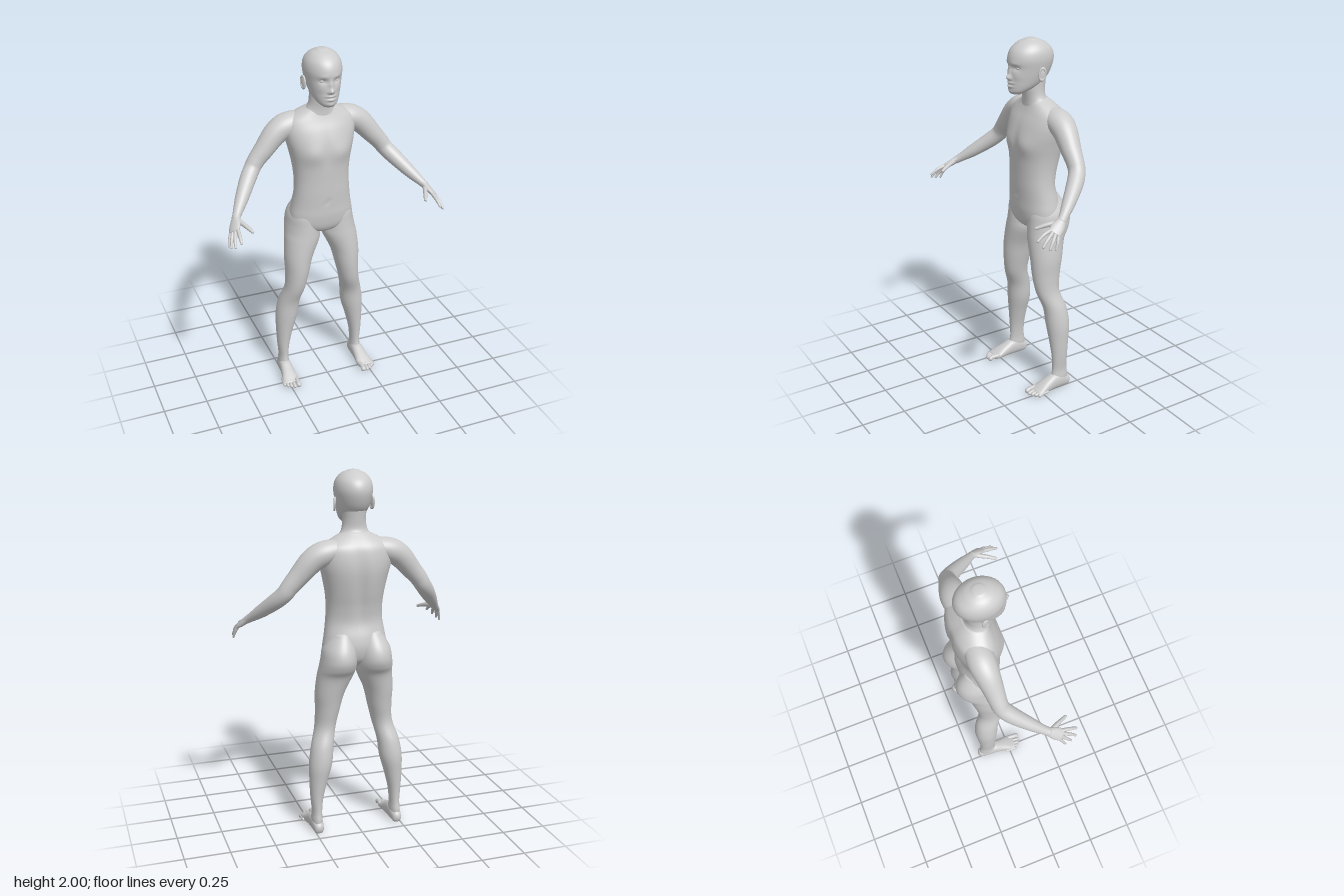
import * as THREE from 'three';

const X = new THREE.Vector3(1, 0, 0), Y = new THREE.Vector3(0, 1, 0), Z = new THREE.Vector3(0, 0, 1);
const DOWN = new THREE.Vector3(0, -1, 0);

// Catmull-Rom blend of whole rows of numbers
function blend(rows, s) {
  const n = rows.length - 1, i = Math.min(Math.floor(s), n - 1), t = s - i;
  const a = rows[Math.max(i - 1, 0)], b = rows[i], c = rows[i + 1], d = rows[Math.min(i + 2, n)];
  return b.map((_, k) => 0.5 * (2 * b[k] + (c[k] - a[k]) * t
    + (2 * a[k] - 5 * b[k] + 4 * c[k] - d[k]) * t * t
    + (3 * b[k] - a[k] - 3 * c[k] + d[k]) * t * t * t));
}

// Smooth skin through rows of [x, y, z, radiusU, radiusV], with rounded ends.
// axis fixes the direction of the sections; without it they follow the path.
function loft(rows, { axis, ref = X, seg = 32, sub = 5, power = 2, cap = 0.6, rule } = {}) {
  const rings = [], steps = (rows.length - 1) * sub;
  for (let k = 0; k <= steps; k++) {
    const [x, y, z, ru, rv] = blend(rows, k / sub);
    rings.push({ c: new THREE.Vector3(x, y, z), ru, rv });
  }
  rings.forEach((r, k) => {
    const a = rings[Math.max(k - 1, 0)], b = rings[Math.min(k + 1, steps)];
    r.t = axis ? axis.clone() : b.c.clone().sub(a.c).normalize();
    r.u = ref.clone().addScaledVector(r.t, -ref.dot(r.t)).normalize();
    r.v = r.t.clone().cross(r.u);
  });
  const capRing = (r, dir, a) => ({
    ...r, c: r.c.clone().addScaledVector(r.t, dir * cap * Math.min(r.ru, r.rv) * Math.sin(a)),
    ru: r.ru * Math.cos(a) + 1e-4, rv: r.rv * Math.cos(a) + 1e-4,
  });
  const angles = [0.35, 0.7, 1.05, 1.35, Math.PI / 2];
  const all = [...angles.map(a => capRing(rings[0], -1, a)).reverse(), ...rings,
    ...angles.map(a => capRing(rings[steps], 1, a))];
  const pos = [], idx = [], p = new THREE.Vector3();
  const round = v => Math.sign(v) * Math.abs(v) ** (2 / power);
  all.forEach((r, i) => {
    for (let j = 0; j < seg; j++) {
      const a = j / seg * Math.PI * 2;
      p.copy(r.c).addScaledVector(r.u, r.ru * round(Math.cos(a))).addScaledVector(r.v, r.rv * round(Math.sin(a)));
      if (rule) rule(p);
      pos.push(p.x, p.y, p.z);
      if (i === all.length - 1) continue;
      const A = i * seg + j, B = i * seg + (j + 1) % seg;
      idx.push(A, B, B + seg, A, B + seg, A + seg);
    }
  });
  const g = new THREE.BufferGeometry();
  g.setAttribute('position', new THREE.Float32BufferAttribute(pos, 3));
  g.setIndex(idx);
  g.computeVertexNormals();
  return g;
}

// Rows for upright parts: [y, centre x, half width, back z, front z]
const upright = rows => rows.map(([y, x, w, b, f]) => [x, y, (b + f) / 2, w, (f - b) / 2]);
const bell = (d, r) => Math.exp(-(d * d) / (r * r));

function mirrored(geo) {
  const g = geo.clone().applyMatrix4(new THREE.Matrix4().makeScale(-1, 1, 1));
  const i = g.index.array;
  for (let k = 0; k < i.length; k += 3) [i[k], i[k + 2]] = [i[k + 2], i[k]];
  return g;
}

// Chest swell, spine groove and navel
function torsoRule(p) {
  const { x, y, z } = p, ax = Math.abs(x);
  if (z > -0.06) {
    p.z += 0.010 * bell(ax - 0.085, 0.055) * bell(y - 1.44, 0.05);
    p.z -= 0.006 * bell(x, 0.02) * bell(y - 1.45, 0.1);
    p.z -= 0.006 * bell(x, 0.01) * bell(y - 1.15, 0.012);
  } else if (z < -0.14) {
    p.z += 0.018 * bell(x, 0.03) * bell(y - 1.38, 0.2);
  }
}

// Nose, lips, chin, brow, cheeks and eye sockets
function faceRule(p) {
  const { x, y, z } = p, ax = Math.abs(x);
  if (z < -0.03) return;
  p.z += 0.021 * bell(x, 0.013) * bell(y - 1.806, 0.013)
    + 0.010 * bell(x, 0.010) * bell(y - 1.835, 0.025)
    + 0.005 * bell(ax - 0.014, 0.008) * bell(y - 1.8, 0.008)
    + 0.009 * bell(x, 0.024) * bell(y - 1.778, 0.007)
    + 0.009 * bell(x, 0.020) * bell(y - 1.759, 0.007)
    - 0.006 * bell(x, 0.024) * bell(y - 1.768, 0.003)
    + 0.004 * bell(x, 0.02) * bell(y - 1.73, 0.012)
    + 0.003 * bell(ax - 0.035, 0.025) * bell(y - 1.882, 0.01)
    + 0.003 * bell(ax - 0.05, 0.02) * bell(y - 1.815, 0.02)
    - 0.010 * bell(ax - 0.038, 0.02) * bell(y - 1.857, 0.013);
}

export function createModel() {
  const model = new THREE.Group();
  model.name = 'figure';
  const grey = new THREE.MeshStandardMaterial({ color: 0xcccccc });
  grey.name = 'plain grey';

  const add = (name, geo) => {
    const m = new THREE.Mesh(geo, grey);
    m.name = name;
    model.add(m);
  };
  const pair = (name, geo) => {
    add('left' + name, geo);
    add('right' + name, mirrored(geo));
  };

  // Trunk
  add('torso', loft(upright([
    [0.945, 0, 0.04, -0.14, -0.05], [0.965, 0, 0.11, -0.17, -0.02], [1.0, 0, 0.175, -0.2, -0.002],
    [1.06, 0, 0.18, -0.215, 0.008], [1.12, 0, 0.17, -0.21, 0.01], [1.2, 0, 0.158, -0.192, 0.014],
    [1.28, 0, 0.155, -0.202, 0.016], [1.36, 0, 0.162, -0.222, 0.02], [1.44, 0, 0.178, -0.238, 0.024],
    [1.5, 0, 0.192, -0.244, 0.016], [1.56, 0, 0.2, -0.24, -0.004], [1.61, 0, 0.19, -0.228, -0.028],
    [1.645, 0, 0.14, -0.203, -0.042], [1.675, 0, 0.08, -0.172, -0.05],
  ]), { axis: Y, seg: 64, power: 2.2, cap: 0.2, rule: torsoRule }));

  add('neck', loft(upright([
    [1.6, 0, 0.13, -0.19, -0.04], [1.64, 0, 0.11, -0.185, -0.04], [1.67, 0, 0.083, -0.168, -0.04],
    [1.7, 0, 0.068, -0.154, -0.037], [1.75, 0, 0.063, -0.156, -0.03], [1.82, 0, 0.066, -0.165, -0.03],
  ]), { axis: Y, cap: 0.2 }));

  // Head
  add('head', loft(upright([
    [1.718, 0, 0.034, -0.02, 0.044], [1.733, 0, 0.052, -0.06, 0.053], [1.76, 0, 0.07, -0.12, 0.055],
    [1.8, 0, 0.084, -0.168, 0.054], [1.85, 0, 0.095, -0.195, 0.053], [1.9, 0, 0.101, -0.205, 0.055],
    [1.945, 0, 0.092, -0.19, 0.038], [1.978, 0, 0.066, -0.15, 0], [1.994, 0, 0.034, -0.112, -0.04],
  ]), { axis: Y, seg: 96, sub: 9, cap: 0.18, rule: faceRule }));

  pair('Eye', new THREE.SphereGeometry(0.0135, 20, 14).scale(1.15, 0.75, 1).translate(0.038, 1.857, 0.023));

  const place = g => g.rotateY(1.25).rotateX(-0.15).translate(0.103, 1.825, -0.082);
  pair('EarRim', place(new THREE.TorusGeometry(0.02, 0.006, 10, 28).scale(0.85, 1.5, 1)));
  pair('EarBowl', place(new THREE.SphereGeometry(0.02, 18, 12).scale(0.85, 1.5, 0.25)));

  // Arms
  pair('Arm', loft([
    [0.1, 1.595, -0.14, 0.065, 0.055], [0.18, 1.578, -0.14, 0.073, 0.066], [0.245, 1.54, -0.135, 0.066, 0.064],
    [0.315, 1.462, -0.125, 0.054, 0.054], [0.36, 1.41, -0.12, 0.047, 0.048], [0.39, 1.368, -0.11, 0.045, 0.045],
    [0.43, 1.322, -0.07, 0.044, 0.043], [0.49, 1.256, 0.008, 0.035, 0.035], [0.532, 1.212, 0.066, 0.025, 0.024],
    [0.548, 1.196, 0.09, 0.024, 0.021],
  ], { ref: Z }));

  // Hands
  const across = new THREE.Vector3(-0.6, 0.43, 0.68);
  pair('Palm', loft([
    [0.536, 1.208, 0.072, 0.022, 0.02], [0.55, 1.193, 0.095, 0.027, 0.018],
    [0.563, 1.175, 0.122, 0.035, 0.016], [0.578, 1.156, 0.152, 0.034, 0.012],
  ], { ref: across, seg: 24 }));
  const fingers = [
    ['Thumb', [0.542, 1.192, 0.105], [0.518, 1.182, 0.158], [0.495, 1.165, 0.207], 0.012],
    ['IndexFinger', [0.56, 1.168, 0.165], [0.564, 1.153, 0.208], [0.567, 1.13, 0.243], 0.0095],
    ['MiddleFinger', [0.573, 1.158, 0.16], [0.587, 1.133, 0.199], [0.595, 1.105, 0.228], 0.0095],
    ['RingFinger', [0.584, 1.15, 0.15], [0.599, 1.121, 0.175], [0.608, 1.09, 0.197], 0.009],
    ['LittleFinger', [0.59, 1.147, 0.135], [0.604, 1.117, 0.149], [0.613, 1.083, 0.163], 0.008],
  ];
  for (const [name, base, mid, tip, r] of fingers) {
    pair(name, loft([[...base, r * 1.1, r * 1.1], [...mid, r, r], [...tip, r * 0.7, r * 0.7]],
      { ref: across, seg: 14, cap: 1 }));
  }

  // Legs, with the seat at their upper back
  pair('Leg', loft(upright([
    [1.13, 0.085, 0.06, -0.205, -0.03], [1.06, 0.096, 0.088, -0.248, -0.012], [1.0, 0.1, 0.096, -0.261, -0.008],
    [0.95, 0.104, 0.1, -0.245, -0.005], [0.9, 0.113, 0.099, -0.212, -0.002], [0.8, 0.14, 0.081, -0.187, 0],
    [0.7, 0.152, 0.067, -0.168, -0.003], [0.6, 0.167, 0.058, -0.157, -0.018], [0.5, 0.192, 0.062, -0.188, -0.052],
    [0.4, 0.206, 0.064, -0.2, -0.063], [0.3, 0.22, 0.05, -0.19, -0.075], [0.2, 0.23, 0.036, -0.18, -0.085],
    [0.12, 0.231, 0.028, -0.179, -0.088], [0.07, 0.232, 0.03, -0.186, -0.08], [0.03, 0.232, 0.028, -0.185, -0.08],
  ]), { axis: DOWN, seg: 40, cap: 0.5 }));

  // Feet: [z, x, half width, height]
  const foot = [[-0.178, 0.232, 0.027, 0.06], [-0.14, 0.232, 0.033, 0.085], [-0.09, 0.233, 0.036, 0.088],
    [-0.04, 0.235, 0.04, 0.066], [0, 0.238, 0.047, 0.046], [0.03, 0.241, 0.046, 0.03]];
  pair('Foot', loft(foot.map(([z, x, w, h]) => [x, h / 2 - 0.003, z, w, h / 2 + 0.003]),
    { axis: Z, power: 2.3, cap: 0.8, rule: p => { p.y = Math.max(p.y, 0); } }));

  // Toes: [x, tip z, radius]
  [[0.208, 0.085, 0.0155], [0.232, 0.082, 0.011], [0.251, 0.073, 0.0105], [0.268, 0.06, 0.01], [0.283, 0.044, 0.0095]]
    .forEach(([x, z, r], i) => pair('Toe' + (i + 1), loft([
      [x - 0.003, r + 0.005, z - 0.065, r * 0.9, r * 0.9], [x, r + 0.006, z - 0.03, r * 0.85, r * 0.85],
      [x, r, z - r, r, r],
    ], { axis: Z, seg: 16, cap: 1 })));

  return model;
}
